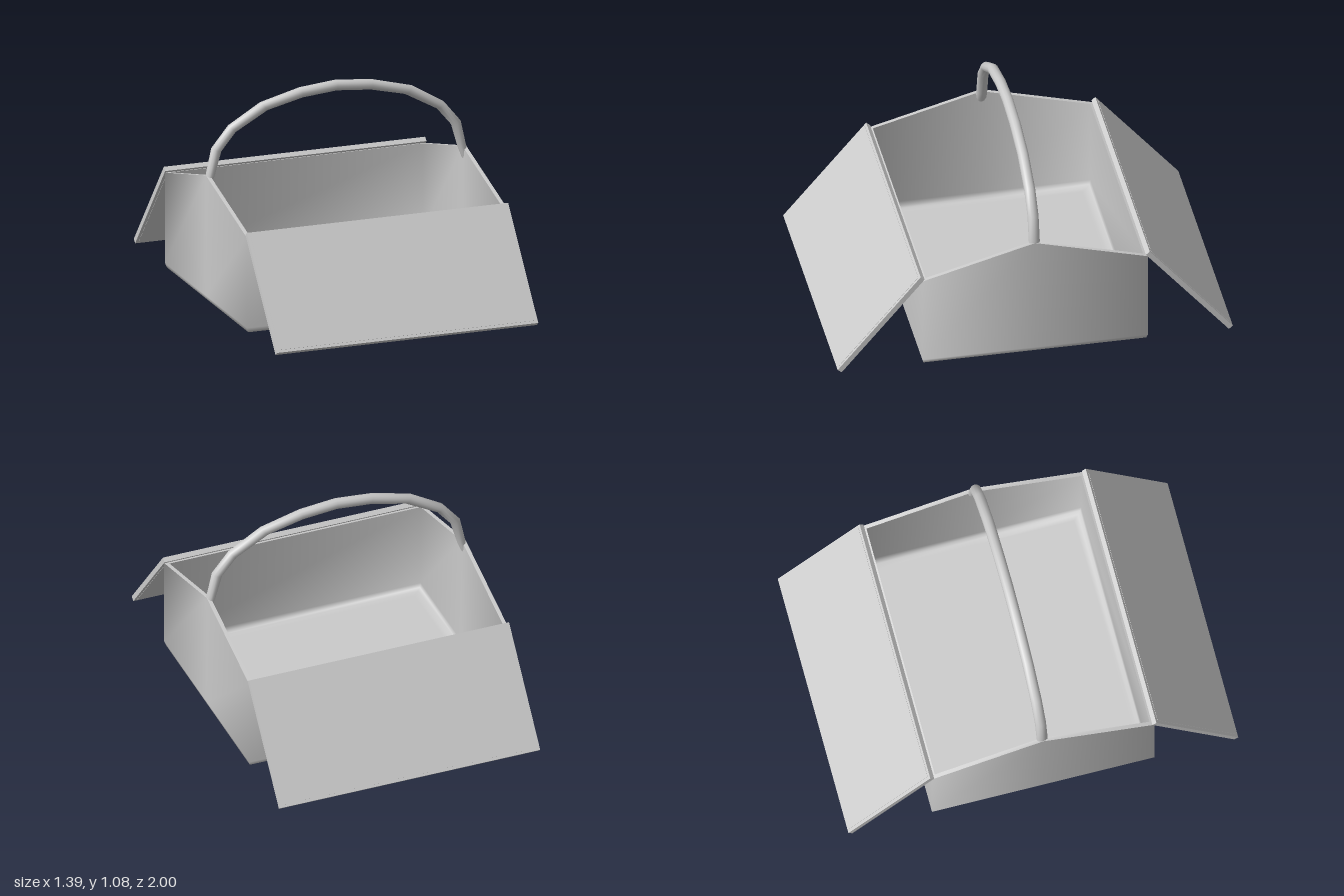
import * as THREE from 'three';

const material = new THREE.MeshStandardMaterial({ color: 0xcccccc });

function part(name, geometry) {
  const mesh = new THREE.Mesh(geometry, material);
  mesh.name = name;
  return mesh;
}

// Smooth skin across a list of closed rings of equal point count
function loft(rings) {
  const n = rings[0].length;
  const index = [];
  for (let i = 0; i < rings.length - 1; i++) {
    for (let j = 0; j < n; j++) {
      const k = (j + 1) % n;
      const a = i * n + j, b = i * n + k, c = a + n, d = b + n;
      index.push(a, b, d, a, d, c);
    }
  }
  const geometry = new THREE.BufferGeometry();
  geometry.setAttribute('position', new THREE.Float32BufferAttribute(rings.flat(2), 3));
  geometry.setIndex(index);
  geometry.computeVertexNormals();
  return geometry;
}

// Six-point outline of the tub; without y it follows the gabled top edge
function tubRing(inset, y) {
  const x = 0.69 - inset, z = Math.max(0.57 - inset, 0);
  const top = (pz) => 0.655 - 0.155 * Math.abs(pz) / 0.57;
  return [[x, z], [x, 0], [x, -z], [-x, -z], [-x, 0], [-x, z]]
    .map(([px, pz]) => [px, y ?? top(pz), pz]);
}

function createTub() {
  const tub = new THREE.Group();
  tub.name = 'basketTub';
  const outer = [
    tubRing(0.57, 0), tubRing(0.05, 0), tubRing(0.022, 0),
    tubRing(0.007, 0.009), tubRing(0, 0.03), tubRing(0),
  ];
  const inner = [
    tubRing(0.02), tubRing(0.02, 0.05), tubRing(0.027, 0.029),
    tubRing(0.042, 0.02), tubRing(0.07, 0.02), tubRing(0.57, 0.02),
  ];
  tub.add(part('outerWall', loft(outer)));
  tub.add(part('rim', loft([tubRing(0), tubRing(0.02)])));
  tub.add(part('innerWall', loft(inner)));
  // close the narrow strip left in the middle of each floor
  return tub;
}

// Arched handle: outer and inner edge of each section, mirrored in x
function createHandle() {
  const half = [
    [0, 1.075, 0, 1.02],
    [0.19, 1.057, 0.18, 1.004],
    [0.40, 1.002, 0.365, 0.96],
    [0.57, 0.90, 0.535, 0.865],
    [0.66, 0.79, 0.61, 0.775],
    [0.688, 0.66, 0.645, 0.655],
    [0.688, 0.63, 0.675, 0.58],
  ];
  const left = half.slice(1).reverse().map(([a, b, c, d]) => [-a, b, -c, d]);
  const sides = 12;
  const rings = [...left, ...half].map(([ox, oy, ix, iy]) =>
    Array.from({ length: sides }, (_, j) => {
      const t = j / sides * Math.PI * 2;
      const c = Math.cos(t) / 2;
      return [
        (ox + ix) / 2 + (ox - ix) * c,
        (oy + iy) / 2 + (oy - iy) * c,
        0.028 * Math.sin(t),
      ];
    }));
  return part('handle', loft(rings));
}

// Sloping lid flap with a slim border around its panel
function createLid(name) {
  const pivot = new THREE.Group();
  pivot.name = name;
  const flap = new THREE.Group();
  flap.name = name + 'Flap';
  flap.add(part('lidBoard', new THREE.BoxGeometry(1.386, 0.026, 0.653)));
  flap.add(part('lidPanel', new THREE.BoxGeometry(1.355, 0.029, 0.625)));
  flap.position.set(0, 0.27, 0.779);
  flap.rotation.x = 0.873;
  pivot.add(flap);
  return pivot;
}

export function createModel() {
  const model = new THREE.Group();
  model.name = 'picnicBasket';
  const backLid = createLid('backLid');
  backLid.rotation.y = Math.PI;
  model.add(createTub(), createHandle(), createLid('frontLid'), backLid);
  return model;
}
